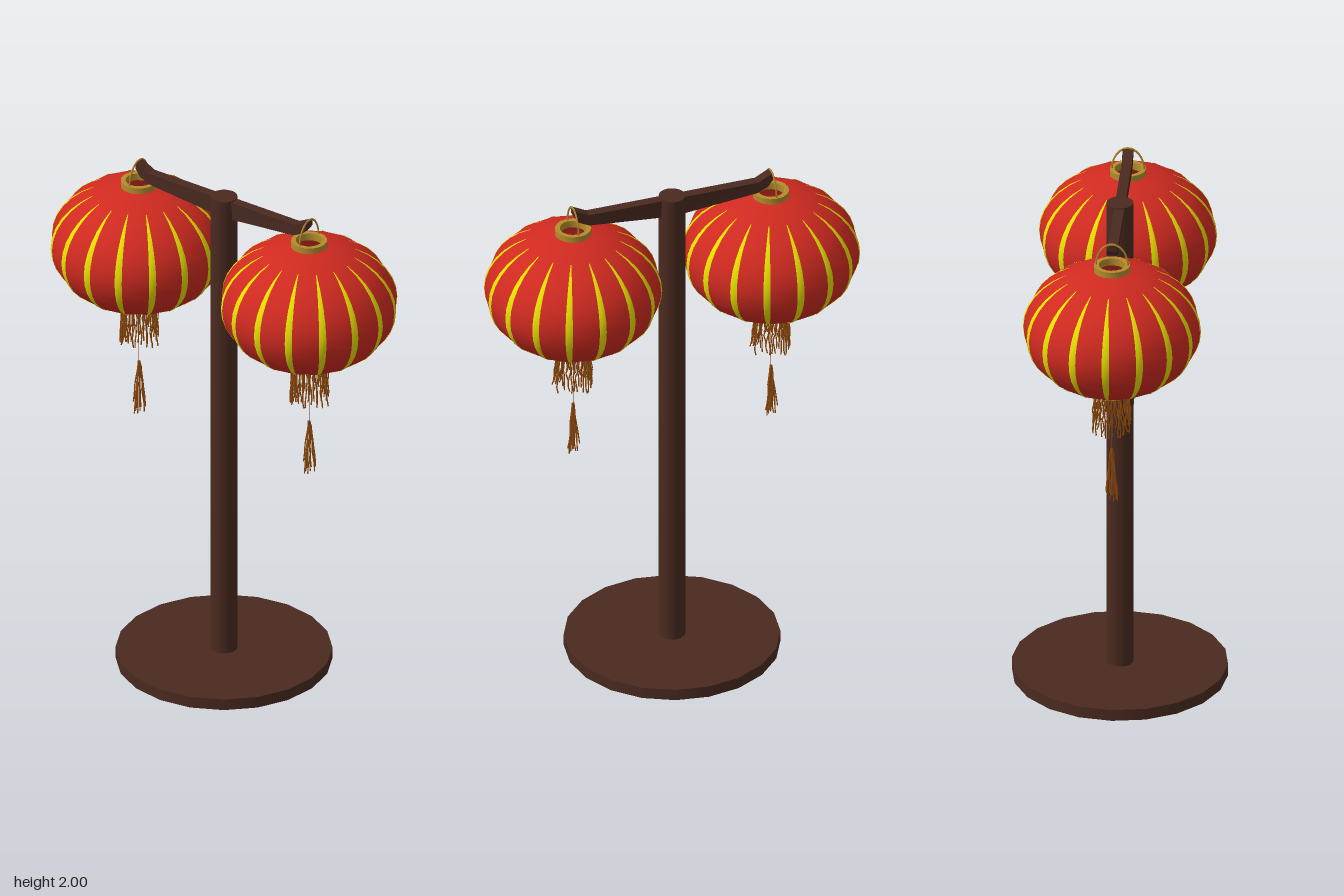
import * as THREE from 'three';
import { mergeGeometries, toCreasedNormals } from 'three/addons/utils/BufferGeometryUtils.js';

const SIDES = 16, LAT_STEPS = 16, RADIUS = 0.332, HALF_HEIGHT = 0.25, MID_Y = 1.643;

function material(name, color, side = THREE.FrontSide) {
  const m = new THREE.MeshStandardMaterial({ color, side });
  m.name = name;
  return m;
}

function add(parent, name, geometry, mat) {
  const mesh = new THREE.Mesh(geometry, mat);
  mesh.name = name;
  parent.add(mesh);
  return mesh;
}

// Small seeded generator, for the uneven strands
function seeded(seed) {
  return () => (seed = (seed * 16807) % 2147483647) / 2147483647;
}

// Radius and height of the paper shell at latitude step i
function shellPoint(i) {
  const a = THREE.MathUtils.degToRad(-78 + 156 * i / LAT_STEPS);
  return new THREE.Vector2(RADIUS * Math.cos(a), MID_Y + HALF_HEIGHT * Math.sin(a));
}

// Tapered stripe folded over one rib of the shell
function stripeGeometry(angle) {
  const pos = [], index = [], first = 2, last = LAT_STEPS - 2, bend = Math.PI / SIDES;
  for (let i = first; i <= last; i++) {
    const p = shellPoint(i);
    const half = 0.0015 + 0.0125 * Math.sin(Math.PI * (i - first) / (last - first));
    for (const s of [-1, 0, 1]) {
      const out = p.x + 0.0015 - Math.abs(s) * half * Math.sin(bend);
      const y = p.y + 0.0015 * (p.y - MID_Y) / HALF_HEIGHT;
      pos.push(s * half * Math.cos(bend), y, out);
    }
    if (i === last) continue;
    const b = (i - first) * 3;
    for (const k of [b, b + 1]) index.push(k, k + 1, k + 4, k, k + 4, k + 3);
  }
  const g = new THREE.BufferGeometry();
  g.setAttribute('position', new THREE.Float32BufferAttribute(pos, 3));
  g.setIndex(index);
  g.computeVertexNormals();
  return g.rotateY(angle);
}

// Square-section collar around an opening
function collarGeometry(y0, y1) {
  const profile = [[0.05, y0], [0.068, y0], [0.068, y1], [0.05, y1], [0.05, y0]];
  const g = new THREE.LatheGeometry(profile.map(p => new THREE.Vector2(...p)), SIDES);
  return toCreasedNormals(g, 0.7);
}

// Thin crinkled strand between two points
function strandGeometry(from, to, rand, wobble, radius) {
  const points = [];
  for (let i = 0; i <= 5; i++) {
    const p = from.clone().lerp(to, i / 5);
    if (i > 0) p.add(new THREE.Vector3(rand() - 0.5, 0, rand() - 0.5).multiplyScalar(wobble));
    points.push(p);
  }
  return new THREE.TubeGeometry(new THREE.CatmullRomCurve3(points), 7, radius, 3);
}

function buildLantern(mats) {
  const lantern = new THREE.Group();
  const rand = seeded(4711);

  // Paper shell with its stripes
  const profile = [];
  for (let i = 0; i <= LAT_STEPS; i++) profile.push(shellPoint(i));
  add(lantern, 'shell', new THREE.LatheGeometry(profile, SIDES), mats.red);
  const stripes = [];
  for (let k = 0; k < SIDES; k++) stripes.push(stripeGeometry(k * 2 * Math.PI / SIDES));
  add(lantern, 'stripes', mergeGeometries(stripes), mats.yellow);

  // Collars and hanging wire
  add(lantern, 'topCollar', collarGeometry(1.882, 1.911), mats.gold);
  add(lantern, 'bottomCollar', collarGeometry(1.373, 1.4), mats.gold);
  const wire = new THREE.TorusGeometry(0.06, 0.0035, 5, 20, Math.PI);
  wire.rotateY(Math.PI / 2).scale(1, 1.45, 1).translate(0, 1.908, 0);
  add(lantern, 'hangingWire', wire, mats.gold);

  // Fringe around the lower collar
  const fringe = [];
  for (let k = 0; k < 44; k++) {
    const a = k * 2 * Math.PI / 44, r = 0.064 + 0.012 * rand();
    const top = new THREE.Vector3(0.06 * Math.sin(a), 1.378, 0.06 * Math.cos(a));
    const end = new THREE.Vector3(r * Math.sin(a), 1.21 + 0.05 * rand(), r * Math.cos(a));
    fringe.push(strandGeometry(top, end, rand, 0.012, 0.003));
  }
  add(lantern, 'fringe', mergeGeometries(fringe), mats.strand);

  // Centre cord with its tassel
  const cord = new THREE.CylinderGeometry(0.001, 0.001, 0.26, 4).translate(0, 1.255, 0);
  add(lantern, 'cord', cord, mats.strand);
  const tassel = [];
  for (let k = 0; k < 14; k++) {
    const a = k * 2.4, r = 0.01 + 0.018 * rand();
    const top = new THREE.Vector3(0.003 * Math.sin(a), 1.14, 0.003 * Math.cos(a));
    const end = new THREE.Vector3(r * Math.sin(a), 0.92 + 0.04 * rand(), r * Math.cos(a));
    tassel.push(strandGeometry(top, end, rand, 0.006, 0.0027));
  }
  add(lantern, 'tassel', mergeGeometries(tassel), mats.strand);
  return lantern;
}

// Crossarm with upturned tips, slimmer towards the post
function armGeometry() {
  const half = [[0, 1.885], [0.335, 1.92], [0.375, 1.94], [0.393, 1.965], [0.395, 1.995], [0.335, 1.965]];
  const mirrored = half.slice(1).reverse().map(([x, y]) => [-x, y]);
  const shape = new THREE.Shape([...half, ...mirrored].map(p => new THREE.Vector2(...p)));
  const g = new THREE.ExtrudeGeometry(shape, { depth: 1, bevelEnabled: false }).translate(0, 0, -0.5);
  const p = g.attributes.position;
  for (let i = 0; i < p.count; i++) p.setZ(i, p.getZ(i) * (0.026 + 0.036 * Math.abs(p.getX(i))));
  g.computeVertexNormals();
  return g;
}

export function createModel() {
  const model = new THREE.Group();
  model.name = 'lanternStand';
  const wood = material('dark wood', 0x4a2a20);
  const mats = {
    red: material('red paper', 0xd02a20, THREE.DoubleSide),
    yellow: material('yellow stripe', 0xe6de00, THREE.DoubleSide),
    gold: material('dull gold', 0xb48c2c, THREE.DoubleSide),
    strand: material('orange brown strand', 0x944c0c),
  };

  // Wooden stand
  add(model, 'base', new THREE.CylinderGeometry(0.405, 0.405, 0.045, 20), wood).position.y = 0.0225;
  add(model, 'post', new THREE.CylinderGeometry(0.05, 0.05, 1.93, 20), wood).position.y = 1.005;
  add(model, 'crossarm', armGeometry(), wood);

  // One lantern at each end of the arm
  for (const [name, x] of [['leftLantern', 0.393], ['rightLantern', -0.393]]) {
    const lantern = buildLantern(mats);
    lantern.name = name;
    lantern.position.x = x;
    model.add(lantern);
  }
  return model;
}
